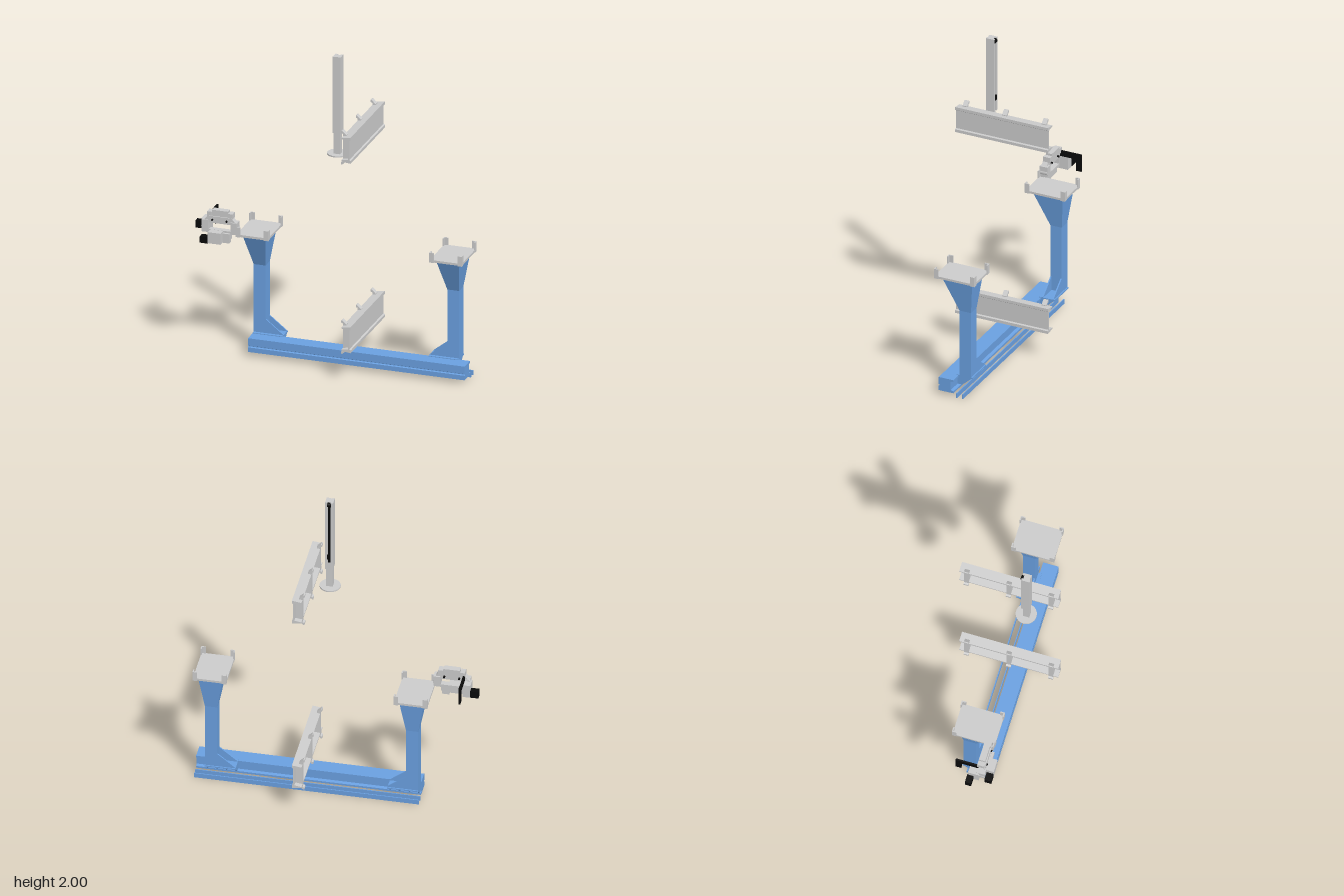
import * as THREE from 'three';

const grey = new THREE.MeshStandardMaterial({ color: 0xcccccc, side: THREE.DoubleSide });
const blue = new THREE.MeshStandardMaterial({ color: 0x6aa0e0, side: THREE.DoubleSide });
const black = new THREE.MeshStandardMaterial({ color: 0x0a0a0a });

function add(parent, name, geometry, material) {
  const mesh = new THREE.Mesh(geometry, material);
  mesh.name = name;
  parent.add(mesh);
  return mesh;
}

// Box given by its low and high corner
function box(parent, name, material, x0, x1, y0, y1, z0, z1) {
  const g = new THREE.BoxGeometry(x1 - x0, y1 - y0, z1 - z0);
  g.translate((x0 + x1) / 2, (y0 + y1) / 2, (z0 + z1) / 2);
  return add(parent, name, g, material);
}

function outline(points) {
  return new THREE.Shape(points.map(([a, b]) => new THREE.Vector2(a, b)));
}

// Extrude an (x, y) outline from z0 to z1
function prismZ(parent, name, material, points, z0, z1, hole) {
  const shape = outline(points);
  if (hole) shape.holes.push(outline(hole));
  const g = new THREE.ExtrudeGeometry(shape, { depth: z1 - z0, bevelEnabled: false });
  g.translate(0, 0, z0);
  return add(parent, name, g, material);
}

// Extrude a (z, y) outline from x0 to x1
function prismX(parent, name, material, points, x0, x1) {
  const g = new THREE.ExtrudeGeometry(outline(points.map(([z, y]) => [-z, y])), { depth: x1 - x0, bevelEnabled: false });
  g.rotateY(Math.PI / 2);
  g.translate(x0, 0, 0);
  return add(parent, name, g, material);
}

function cylinder(parent, name, material, r, h, x, y, z, axis = 'y', sides = 32) {
  const g = new THREE.CylinderGeometry(r, r, h, sides);
  if (axis === 'x') g.rotateZ(Math.PI / 2);
  if (axis === 'z') g.rotateX(Math.PI / 2);
  g.translate(x, y, z);
  return add(parent, name, g, material);
}

// Column with flared head, tray on top and gusseted foot; inner = direction towards the middle
function makeColumn(cx, inner) {
  const g = new THREE.Group();
  g.name = 'column';
  box(g, 'columnShaft', blue, -0.037, 0.037, 0.11, 0.545, -0.08, -0.005);

  const flare = new THREE.BoxGeometry(1, 1, 1);
  const p = flare.attributes.position;
  for (let i = 0; i < p.count; i++) {
    const top = p.getY(i) > 0;
    const hx = top ? 0.073 : 0.037, hz = top ? 0.1 : 0.0375, cz = top ? -0.005 : -0.0425;
    p.setXYZ(i, Math.sign(p.getX(i)) * hx, top ? 0.762 : 0.545, cz + Math.sign(p.getZ(i)) * hz);
  }
  flare.computeVertexNormals();
  add(g, 'flaredHead', flare, blue);

  // Tray with angle posts at the corners
  box(g, 'trayPlate', grey, -0.1, 0.1, 0.762, 0.776, -0.13, 0.13);
  for (const sx of [-1, 1]) for (const sz of [-1, 1]) {
    const xs = [sx * 0.102, sx * 0.074].sort((a, b) => a - b);
    const zs = [sz * 0.133, sz * 0.105].sort((a, b) => a - b);
    const wx = [sx * 0.102, sx * 0.095].sort((a, b) => a - b);
    const wz = [sz * 0.133, sz * 0.126].sort((a, b) => a - b);
    box(g, 'cornerPost', grey, wx[0], wx[1], 0.76, 0.822, zs[0], zs[1]);
    box(g, 'cornerPost', grey, xs[0], xs[1], 0.76, 0.822, wz[0], wz[1]);
  }

  // Foot plate, side gussets above it and ribs below it
  const a = inner * 0.037, b = inner * 0.148;
  box(g, 'footPlate', blue, Math.min(-a, b), Math.max(-a, b), 0.108, 0.116, -0.088, 0.015);
  for (const z of [-0.08, -0.013])
    prismZ(g, 'footGusset', blue, [[a, 0.11], [b, 0.11], [b, 0.118], [a, 0.205]], z, z + 0.008);
  for (let i = 0; i < 4; i++) {
    const x = -a + (b + a) * (i + 0.1) / 3.2;
    prismX(g, 'lowerRib', blue, [[-0.085, 0.11], [0.01, 0.11], [0.01, 0.055], [-0.022, 0.055]], x - 0.004, x + 0.004);
  }
  g.position.x = cx;
  return g;
}

// Channel section with three stiffeners carrying hooked clips
function makeChannel(y) {
  const g = new THREE.Group();
  g.name = 'channelBeam';
  const h = 0.083, f = 0.018;
  prismZ(g, 'channel', grey, [
    [0.147, -h + 0.008], [0.205, -h], [0.205, -h + f], [0.197, -h + f + 0.006], [0.197, h - f - 0.006],
    [0.205, h - f], [0.205, h], [0.147, h - 0.008], [0.147, h - 0.016], [0.19, h - f - 0.004],
    [0.19, -h + f + 0.004], [0.147, -h + 0.016],
  ], -0.305, 0.305);
  for (const z of [-0.26, 0, 0.26]) {
    box(g, 'stiffener', grey, 0.147, 0.192, -h + 0.012, h - 0.012, z - 0.014, z + 0.014);
    for (const s of [-1, 1])
      prismZ(g, 'clip', grey, [[0.136, s * 0.106], [0.142, s * 0.107], [0.168, s * 0.083],
        [0.168, s * 0.074], [0.147, s * 0.074], [0.147, s * 0.088], [0.136, s * 0.092]], z - 0.015, z + 0.015);
  }
  g.position.y = y;
  return g;
}

// Linear guide post on a round foot
function makePost() {
  const g = new THREE.Group();
  g.name = 'guidePost';
  cylinder(g, 'postFoot', grey, 0.063, 0.008, 0.064, 1.38, 0.133);
  box(g, 'postCore', grey, 0.046, 0.086, 1.38, 2, 0.118, 0.157);
  for (const x of [0.042, 0.076]) box(g, 'postRail', grey, x, x + 0.014, 1.515, 2, 0.108, 0.16);
  box(g, 'postSlot', black, 0.058, 0.074, 1.56, 1.985, 0.115, 0.12);
  box(g, 'carriage', black, 0.056, 0.076, 1.59, 1.62, 0.103, 0.118);
  cylinder(g, 'pulley', black, 0.014, 0.022, 0.066, 1.982, 0.114, 'x', 16);
  return g;
}

// Clamp-like tool beside the left-hand column
function makeTool() {
  const g = new THREE.Group();
  g.name = 'toolHead';
  const cx = -0.678;
  prismZ(g, 'toolFrame', grey, [
    [cx - 0.105, 0.768], [cx + 0.105, 0.768], [cx + 0.105, 0.835], [cx + 0.075, 0.87],
    [cx - 0.075, 0.87], [cx - 0.105, 0.835],
  ], 0.09, 0.125, [[cx - 0.068, 0.786], [cx - 0.068, 0.828], [cx + 0.068, 0.828], [cx + 0.068, 0.786]]);
  box(g, 'topBlock', grey, cx - 0.05, cx + 0.05, 0.865, 0.908, 0.08, 0.118);
  for (const s of [-1, 1]) {
    box(g, 'topLug', grey, cx + s * 0.066 - 0.014, cx + s * 0.066 + 0.014, 0.862, 0.896, 0.078, 0.122);
    box(g, 'sideJaw', grey, cx + s * 0.09 - 0.02, cx + s * 0.09 + 0.02, 0.78, 0.845, 0.08, 0.132);
    cylinder(g, 'roller', grey, 0.018, 0.05, cx + s * 0.095, 0.805, 0.105, 'z', 20);
    cylinder(g, 'bolt', black, 0.006, 0.055, cx + s * 0.045, 0.848, 0.105, 'z', 12);
  }
  box(g, 'lowerBlock', grey, -0.735, -0.61, 0.735, 0.775, 0.1, 0.14);
  box(g, 'gearbox', grey, -0.735, -0.655, 0.715, 0.785, 0.115, 0.173);
  box(g, 'lowerFoot', grey, -0.66, -0.615, 0.712, 0.74, 0.1, 0.13);
  box(g, 'lowerMotor', black, -0.785, -0.735, 0.712, 0.752, 0.13, 0.173);
  box(g, 'sideMotor', black, -0.85, -0.798, 0.76, 0.805, 0.03, 0.068);
  box(g, 'motorMount', grey, -0.8, -0.752, 0.755, 0.84, 0.035, 0.1);
  // Thin angled arm reaching backwards
  prismX(g, 'angledArm', black, [[0.085, 0.875], [-0.056, 0.875], [-0.056, 0.765], [-0.02, 0.765],
    [-0.02, 0.84], [0.085, 0.84]], -0.758, -0.747);
  return g;
}

export function createModel() {
  const model = new THREE.Group();
  model.name = 'workpiecePositioner';

  // Long base beam with recessed rear side and grooved front
  const base = new THREE.Group();
  base.name = 'base';
  prismX(base, 'mainBeam', blue, [
    [0.002, 0.025], [0.098, 0.025], [0.098, 0.054], [0.09, 0.058], [0.09, 0.062], [0.098, 0.066], [0.098, 0.112],
    [0.002, 0.112], [0.002, 0.1], [0.02, 0.095], [0.02, 0.042], [0.002, 0.037],
  ], -0.51, 0.845);
  // Pair of thin rails behind the beam
  for (const z of [-0.02, -0.058]) box(base, 'rail', blue, -0.51, 0.845, 0, 0.03, z - 0.003, z + 0.003);
  model.add(base);

  model.add(makeColumn(-0.473, 1), makeColumn(0.738, -1));
  model.add(makeChannel(1.478), makeChannel(0.273));
  model.add(makePost(), makeTool());
  return model;
}
